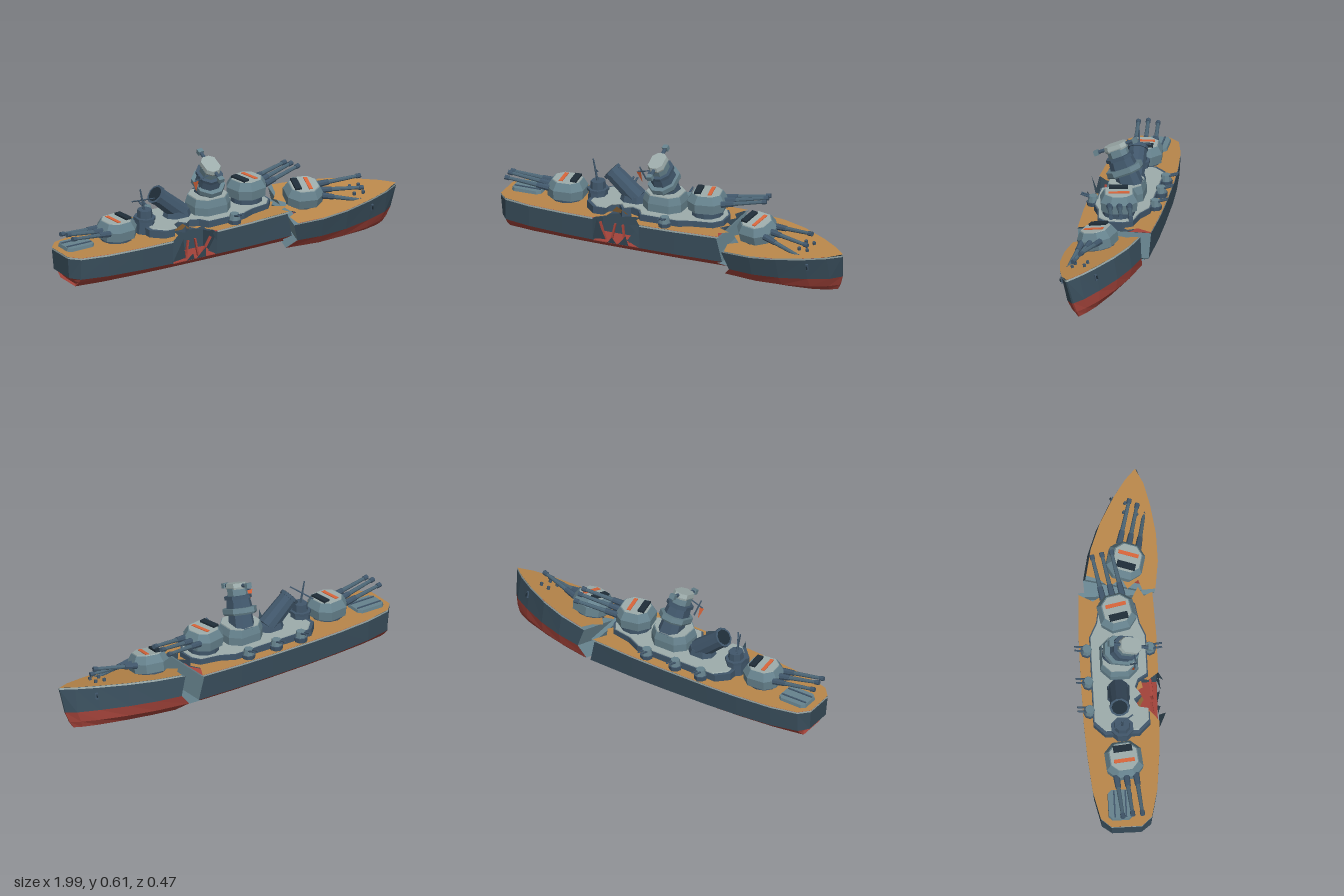
import * as THREE from 'three';

const mat = (name, color, side = THREE.FrontSide) =>
  Object.assign(new THREE.MeshStandardMaterial({ color, side }), { name });

export function createModel() {
  const M = {
    hull: mat('hull slate', 0x394e5c, THREE.DoubleSide),
    red: mat('bottom red', 0xa3433a, THREE.DoubleSide),
    deck: mat('deck wood', 0xb8864a, THREE.DoubleSide),
    pale: mat('pale grey', 0x9dacab),
    steel: mat('steel blue', 0x66828d, THREE.DoubleSide),
    dark: mat('dark slate', 0x40566a),
    gun: mat('gun slate', 0x4b6474),
    black: mat('black slit', 0x1f2d38),
    orange: mat('orange mark', 0xd9653a, THREE.DoubleSide),
  };
  const model = new THREE.Group();
  model.name = 'wreckedBattleship';

  const add = (parent, name, geo, m, x = 0, y = 0, z = 0, rx = 0, ry = 0, rz = 0) => {
    const g = geo.index ? geo.toNonIndexed() : geo;
    g.computeVertexNormals();
    const mesh = new THREE.Mesh(g, m);
    mesh.name = name;
    mesh.position.set(x, y, z);
    mesh.rotation.set(rx, ry, rz);
    parent.add(mesh);
    return mesh;
  };
  const group = (parent, name, x, y, z, rx = 0, ry = 0, rz = 0, order = 'XYZ') => {
    const g = new THREE.Group();
    g.name = name;
    g.position.set(x, y, z);
    g.rotation.set(rx, ry, rz, order);
    parent.add(g);
    return g;
  };
  const faces = (pts) => new THREE.BufferGeometry().setAttribute('position',
    new THREE.Float32BufferAttribute(pts.flat(), 3));
  const box = (w, h, d) => new THREE.BoxGeometry(w, h, d);
  const cyl = (r1, r2, h, n = 8) => new THREE.CylinderGeometry(r1, r2, h, n);
  const oct = (l, w, c) => [[l / 2, w / 2 - c], [l / 2 - c, w / 2], [c - l / 2, w / 2], [-l / 2, w / 2 - c],
    [-l / 2, c - w / 2], [c - l / 2, -w / 2], [l / 2 - c, -w / 2], [l / 2, c - w / 2]];

  // Solid of a plan outline [x, z] stacked through levels [y, scale]
  const stack = (outline, levels) => {
    let p = outline.map(([x, z]) => new THREE.Vector2(x, z));
    if (THREE.ShapeUtils.area(p) < 0) p.reverse();
    const at = (i, [y, s]) => [p[i % p.length].x * s, y, p[i % p.length].y * s];
    const out = [];
    for (let k = 0; k < levels.length - 1; k++) {
      for (let i = 0; i < p.length; i++) {
        const a = at(i, levels[k]), b = at(i + 1, levels[k]), c = at(i + 1, levels[k + 1]), d = at(i, levels[k + 1]);
        out.push(a, d, c, a, c, b);
      }
    }
    for (const [a, b, c] of THREE.ShapeUtils.triangulateShape(p, [])) {
      const top = levels[levels.length - 1], low = levels[0];
      out.push(at(a, top), at(c, top), at(b, top), at(a, low), at(b, low), at(c, low));
    }
    return faces(out);
  };

  // Hull from stations [x, half beam], rows running keel to rim; shift moves rows of one station in x
  const hull = (parent, stations, h, keel, shift, open) => {
    const P = (i, r, s) => {
      const [x, b] = stations[i], top = h(x);
      const z = [0, 0.55, 0.82, 0.96, 1, 1][r], y = [keel, keel, keel + 0.033, 0.09, top - 0.01, top][r];
      return [x + (shift[i] ? shift[i][r] : 0), y, s * b * z];
    };
    const parts = { red: [], hull: [], pale: [], steel: [] }, last = stations.length - 1;
    const quad = (list, a, b, c, d, flip) => list.push(...(flip ? [a, c, b, a, d, c] : [a, b, c, a, c, d]));
    for (let r = 0; r < 5; r++) {
      const col = r < 3 ? 'red' : r < 4 ? 'hull' : 'pale';
      for (const s of [1, -1]) {
        for (let i = 0; i < last; i++) {
          if (open && open(i, r, s)) continue;
          quad(parts[col], P(i, r, s), P(i + 1, r, s), P(i + 1, r + 1, s), P(i, r + 1, s), s < 0);
        }
      }
      for (const i of [0, last]) {
        const torn = stations[i][1] > 0.15;
        quad(parts[torn ? 'steel' : col], P(i, r, 1), P(i, r, -1), P(i, r + 1, -1), P(i, r + 1, 1), i === 0);
      }
    }
    const names = { red: 'bottom', hull: 'sides', pale: 'rim', steel: 'brokenSection' };
    for (const k in parts) if (parts[k].length) add(parent, names[k], faces(parts[k]), M[k]);
  };
  // Deck sheet following the sheer line
  const deckSheet = (parent, outline, h) => {
    const g = new THREE.ShapeGeometry(new THREE.Shape(outline.map(([x, z]) => new THREE.Vector2(x, -z))));
    g.rotateX(-Math.PI / 2);
    const a = g.attributes.position;
    for (let i = 0; i < a.count; i++) a.setY(i, h(a.getX(i)) + 0.001);
    add(parent, 'deck', g, M.deck);
  };

  // Main hull, broken at its forward end and breached on one side
  const main = group(model, 'mainHull', 0, 0, -0.01);
  const mainH = (x) => 0.212 + 0.016 * (x + 1);
  const mainSt = [[-1, 0.08], [-0.95, 0.135], [-0.8, 0.17], [-0.6, 0.19], [-0.42, 0.2], [-0.15, 0.205], [0.05, 0.205], [0.3, 0.195]];
  hull(main, mainSt, mainH, 0.034,
    { 0: [0.08, 0.07, 0.04, 0.01, 0, 0], 7: [-0.02, 0.02, -0.02, 0.02, -0.01, 0.01] },
    (i, r, s) => i === 4 && s > 0 && r > 2);
  deckSheet(main, [...mainSt.map(([x, b]) => [x, -b]),
    [0.26, -0.12], [0.29, -0.07], [0.25, -0.02], [0.3, 0.03], [0.26, 0.08], [0.33, 0.12], [0.28, 0.15], [0.3, 0.195],
    [0.05, 0.205], [-0.15, 0.205], [-0.19, 0.15], [-0.18, 0.11], [-0.23, 0.12], [-0.25, 0.08], [-0.29, 0.11],
    [-0.31, 0.07], [-0.35, 0.09], [-0.36, 0.15], [-0.42, 0.2], [-0.6, 0.19], [-0.8, 0.17], [-0.95, 0.135], [-1, 0.08]], mainH);

  // Breach: exposed floor, inner walls, bent frames and torn plates
  const breach = group(main, 'breach', -0.285, 0, 0);
  add(breach, 'breachFloor', box(0.27, 0.005, 0.13), M.red, 0, 0.09, 0.128);
  add(breach, 'breachBackWall', box(0.27, 0.125, 0.005), M.hull, 0, 0.152, 0.065);
  for (const s of [-1, 1]) add(breach, 'breachEndWall', box(0.004, 0.125, 0.13), M.hull, s * 0.133, 0.152, 0.13);
  [[-0.09, 0.35], [-0.03, -0.2], [0.03, 0.15], [0.09, -0.6]].forEach(([x, t]) =>
    add(breach, 'bentFrame', box(0.01, 0.1, 0.012), M.red, x, 0.14, 0.165, -0.1, 0, t));
  const plates = [
    [[-0.135, 0.1, 0.197], [-0.06, 0.11, 0.2], [-0.095, 0.235, 0.235]],
    [[-0.135, 0.22, 0.2], [-0.135, 0.1, 0.195], [-0.085, 0.16, 0.21]],
    [[0.135, 0.22, 0.205], [0.135, 0.09, 0.198], [0.07, 0.13, 0.215]],
    [[0.135, 0.225, 0.205], [0.135, 0.16, 0.2], [0.09, 0.23, 0.23]],
    [[-0.05, 0.09, 0.195], [0, 0.09, 0.195], [-0.02, 0.13, 0.21]],
    [[0.01, 0.09, 0.195], [0.07, 0.09, 0.195], [0.06, 0.15, 0.21]]];
  plates.forEach((p) => add(breach, 'tornPlate', faces(p), M.hull));
  add(breach, 'tornDeckPlank', faces([[-0.07, 0.225, 0.09], [0.03, 0.225, 0.1], [-0.03, 0.27, 0.12]]), M.deck);

  // Triple gun turret facing local +x
  const turret = (parent, x, y, z, yaw, pitches) => {
    const t = group(parent, 'gunTurret', x, y, z, 0, yaw, 0);
    add(t, 'barbette', cyl(0.085, 0.085, 0.05, 12), M.dark, 0, -0.01, 0);
    const plan = oct(0.2, 0.195, 0.05);
    add(t, 'turretBody', stack(plan, [[0.01, 0.96], [0.06, 1], [0.1, 0.78]]), M.steel);
    add(t, 'roof', stack(plan, [[0.1, 0.74], [0.104, 0.72]]), M.pale);
    add(t, 'roofStripe', box(0.02, 0.004, 0.11), M.orange, 0.022, 0.106, 0);
    add(t, 'roofHatch', box(0.035, 0.014, 0.1), M.black, -0.045, 0.108, 0);
    pitches.forEach((p, i) => {
      const b = group(t, 'gun', 0.085, 0.055, (i - 1) * 0.052, 0, 0, p);
      add(b, 'barrel', cyl(0.009, 0.013, 0.24).rotateZ(-Math.PI / 2), M.gun, 0.12, 0, 0);
      add(b, 'barrelSleeve', cyl(0.015, 0.018, 0.07).rotateZ(-Math.PI / 2), M.dark, 0.035, 0, 0);
      add(b, 'muzzle', cyl(0.013, 0.013, 0.025).rotateZ(-Math.PI / 2), M.dark, 0.235, 0, 0);
    });
  };
  turret(main, -0.65, 0.225, 0, Math.PI + 0.1, [0.12, 0.15, 0.1]);
  turret(main, 0.155, 0.29, 0, 0.2, [0.12, 0.16, 0.16]);

  // Stern hatch cover
  add(main, 'sternPlate', stack(oct(0.17, 0.13, 0.02), [[0.21, 1], [0.232, 0.95]]), M.steel, -0.88, 0, -0.03);
  for (const z of [-0.06, 0]) add(main, 'sternRail', box(0.15, 0.006, 0.008), M.dark, -0.88, 0.234, z);

  // Deckhouse with a bite taken out over the breach
  const house = [[-0.5, -0.09], [-0.44, -0.15], [0.05, -0.15], [0.13, -0.11], [0.24, -0.09], [0.27, -0.04], [0.27, 0.05],
    [0.23, 0.1], [0.12, 0.12], [0.05, 0.15], [-0.17, 0.15], [-0.2, 0.1], [-0.25, 0.08], [-0.29, 0.11],
    [-0.32, 0.07], [-0.37, 0.1], [-0.38, 0.15], [-0.44, 0.15], [-0.5, 0.09]];
  add(main, 'deckhouse', stack(house, [[0.21, 1], [0.262, 1]]), M.dark);
  add(main, 'deckhouseRoof', stack(house, [[0.262, 0.96], [0.267, 0.95]]), M.pale);
  const tier = oct(0.22, 0.2, 0.05);
  add(main, 'bridgeBase', stack(tier, [[0.26, 1], [0.31, 1], [0.35, 0.9]]), M.steel, -0.085, 0, 0);
  add(main, 'bridgeBaseRoof', stack(tier, [[0.35, 0.87], [0.355, 0.86]]), M.pale, -0.085, 0, 0);

  // Leaning bridge tower
  const tower = group(main, 'bridgeTower', -0.08, 0.345, -0.02, 0.4, 0, 0.12);
  const ring = oct(0.15, 0.19, 0.045), small = oct(0.125, 0.145, 0.035);
  add(tower, 'towerFoot', stack(oct(0.12, 0.13, 0.03), [[-0.03, 1], [0.06, 0.9]]), M.dark);
  add(tower, 'lowerPlatform', stack(ring, [[0.055, 0.92], [0.065, 1], [0.092, 1]]), M.steel);
  add(tower, 'towerMiddle', stack(small, [[0.09, 0.95], [0.14, 0.85]]), M.dark);
  add(tower, 'upperPlatform', stack(small, [[0.138, 1], [0.156, 1]]), M.dark);
  add(tower, 'towerHead', stack(small, [[0.156, 0.72], [0.195, 0.72]]), M.steel);
  add(tower, 'rangefinder', stack(oct(0.09, 0.125, 0.025), [[0.19, 0.95], [0.2, 1], [0.222, 0.92]]), M.pale);
  for (const s of [-1, 1]) {
    add(tower, 'rangefinderArm', cyl(0.01, 0.01, 0.05).rotateX(Math.PI / 2), M.dark, 0, 0.207, s * 0.08);
    add(tower, 'rangefinderEye', box(0.03, 0.026, 0.025), M.steel, 0, 0.207, s * 0.112);
  }
  // Snapped signal mast with a torn pennant
  const mast = group(tower, 'signalMast', -0.085, 0.16, 0.04, 0, 0, 0.15);
  add(mast, 'mastPole', cyl(0.004, 0.005, 0.09, 5), M.dark, 0, 0, 0);
  add(mast, 'mastYard', cyl(0.004, 0.004, 0.09, 5).rotateZ(Math.PI / 2), M.dark, 0.02, 0.015, 0);
  add(mast, 'pennant', faces([[-0.035, 0.015, 0], [-0.005, 0.015, 0.005], [-0.025, -0.055, 0.01]]), M.orange);

  // Toppled funnel and broken aft mast
  add(main, 'funnelBase', stack(oct(0.15, 0.12, 0.035), [[0.26, 1], [0.3, 0.85]]), M.dark, -0.27, 0, -0.01);
  const funnel = group(main, 'funnel', -0.325, 0.345, -0.01, 0, 0, 0.86);
  add(funnel, 'funnelTube', cyl(0.048, 0.055, 0.2, 10), M.dark);
  add(funnel, 'funnelLip', cyl(0.054, 0.054, 0.018, 10), M.dark, 0, 0.095, 0);
  add(funnel, 'funnelMouth', cyl(0.042, 0.042, 0.004, 10), M.black, 0, 0.104, 0);
  const aft = group(main, 'aftMast', -0.475, 0.22, 0);
  add(aft, 'aftMastHouse', stack(oct(0.1, 0.11, 0.03), [[0, 1], [0.07, 0.9], [0.07, 1.05], [0.085, 1.05], [0.085, 0.75], [0.125, 0.7]]), M.dark);
  add(aft, 'aftMastPole', cyl(0.004, 0.007, 0.13, 5), M.dark, -0.015, 0.18, 0, 0, 0, 0.2);
  add(aft, 'aftMastYard', cyl(0.004, 0.004, 0.14, 5), M.dark, -0.01, 0.18, 0, 1.2, 0, -0.5);

  // Twin secondary guns on side sponsons
  [[-0.36, -1], [-0.2, -1], [-0.02, -1], [-0.02, 1]].forEach(([x, s]) => {
    const g = group(main, 'secondaryGun', x, 0.22, s * 0.165, 0, s > 0 ? 0 : Math.PI);
    add(g, 'sponson', cyl(0.037, 0.03, 0.06), M.dark, 0, 0, 0);
    add(g, 'gunHouse', cyl(0.024, 0.031, 0.035), M.steel, 0, 0.045, 0);
    for (const d of [-0.011, 0.011]) {
      add(g, 'smallBarrel', cyl(0.005, 0.006, 0.06, 6).rotateX(Math.PI / 2), M.dark, d, 0.062, 0.037, -0.3);
    }
  });

  // Severed bow, rolled and turned away from the main hull
  const bow = group(model, 'bowSection', 0.38, 0.005, -0.022, 0.22, -0.165, 0, 'YXZ');
  const bowH = (x) => 0.205 + 0.04 * x;
  const bowSt = [[0, 0.188], [0.15, 0.182], [0.3, 0.152], [0.45, 0.1], [0.56, 0.05], [0.63, 0.005]];
  hull(bow, bowSt, bowH, 0, {
    0: [-0.03, 0.02, -0.04, 0.01, -0.02, 0.01], 4: [-0.03, -0.03, -0.02, 0, 0, 0], 5: [-0.06, -0.06, -0.04, -0.02, 0, 0],
  });
  deckSheet(bow, [...bowSt.map(([x, b]) => [x, -b]), ...bowSt.slice(0, -1).reverse(),
    [-0.02, 0.12], [0.03, 0.09], [-0.03, 0.04], [0.02, 0], [-0.04, -0.06], [-0.01, -0.11]], bowH);
  turret(bow, 0.1, 0.212, 0, -0.08, [0.12, -0.05, -0.25]);
  for (const s of [-1, 1]) {
    for (const x of [0.38, 0.43]) add(bow, 'bollard', cyl(0.009, 0.009, 0.018, 6), M.dark, x, bowH(x) + 0.008, s * 0.035);
    add(bow, 'anchor', box(0.014, 0.035, 0.014), M.dark, 0.46, 0.17, s * 0.095, 0, s * 0.43);
    add(bow, 'anchorHole', box(0.006, 0.018, 0.018), M.black, 0.46, 0.17, s * 0.1, 0, s * 0.43);
  }
  return model;
}
